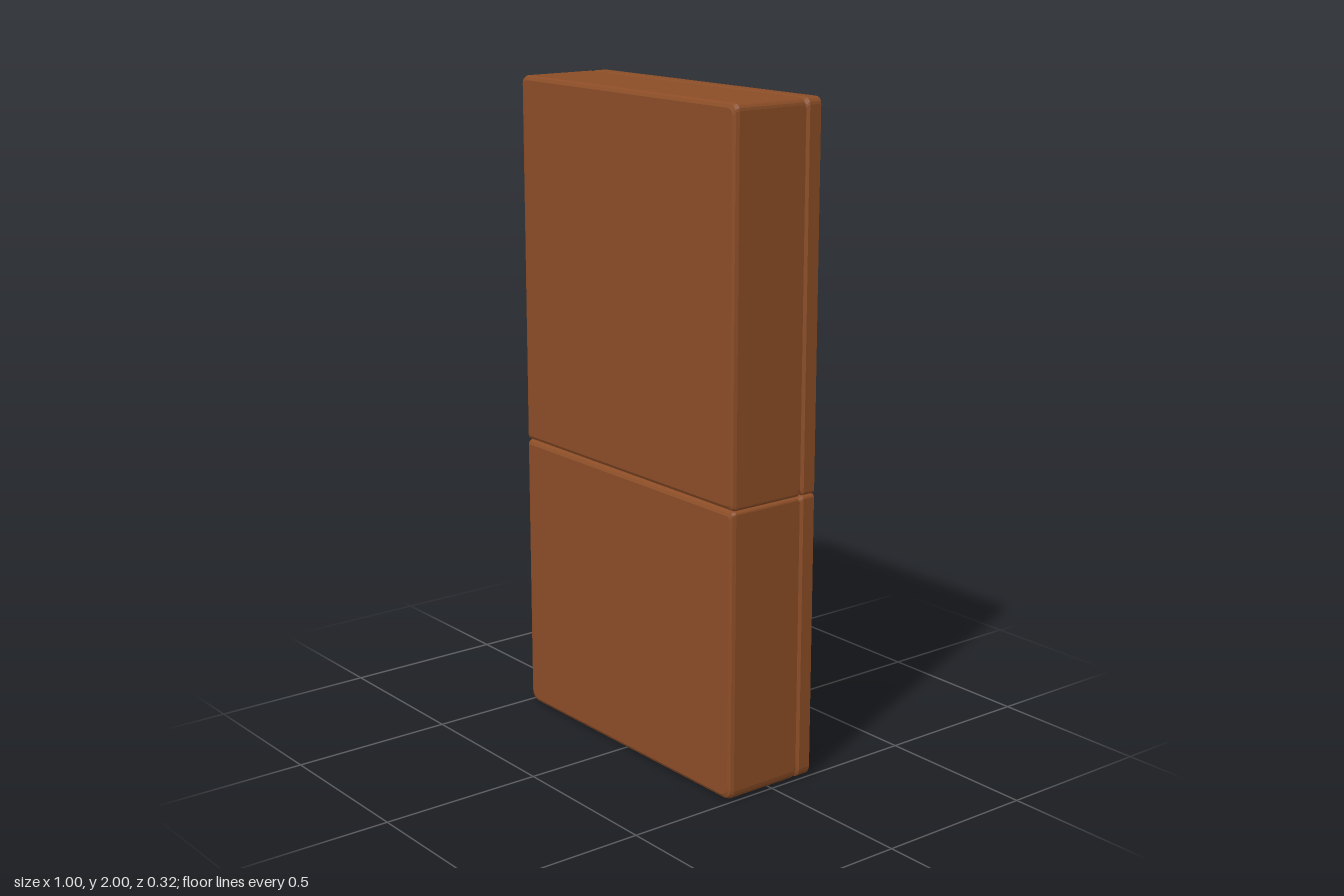
import * as THREE from 'three';

const FRONT = -0.145, BACK = 0.16;
const wood = new THREE.MeshStandardMaterial({ color: 0x8b4d27, flatShading: true });

// Counter-clockwise rounded rectangle with separate top and bottom corner radii
function roundedRect({ x0, x1, y0, y1, rt, rb }, inset = 0) {
  const pts = [];
  const corners = [
    [x1, y0, -1, 1, rb], [x1, y1, -1, -1, rt], [x0, y1, 1, -1, rt], [x0, y0, 1, 1, rb],
  ];
  corners.forEach(([x, y, sx, sy, r], k) => {
    for (let i = 0; i <= 4; i++) {
      const a = (k - 1 + i / 4) * Math.PI / 2;
      pts.push(new THREE.Vector2(
        x + sx * (r + inset) + r * Math.cos(a),
        y + sy * (r + inset) + r * Math.sin(a)));
    }
  });
  return pts;
}

// Skin over the rectangle at successive [z, inset] steps, closed at the far end;
// inward = true makes a hollow recess instead of a solid
function loft(rect, steps, inward = false) {
  const pos = [], index = [];
  const tri = (a, b, c) => (inward ? index.push(a, c, b) : index.push(a, b, c));
  let n = 0;
  steps.forEach(([z, inset], s) => {
    const loop = roundedRect(rect, inset);
    n = loop.length;
    loop.forEach((p) => pos.push(p.x, p.y, z));
    if (s === 0) return;
    for (let i = 0; i < n; i++) {
      const j = (i + 1) % n, a = (s - 1) * n, b = s * n;
      tri(a + i, a + j, b + j);
      tri(a + i, b + j, b + i);
    }
  });
  const last = (steps.length - 1) * n;
  for (let i = 1; i < n - 1; i++) tri(last, last + i, last + i + 1);
  const indexed = new THREE.BufferGeometry();
  indexed.setAttribute('position', new THREE.Float32BufferAttribute(pos, 3));
  indexed.setIndex(index);
  const geo = indexed.toNonIndexed();
  geo.computeVertexNormals();
  return geo;
}

function add(group, name, geo) {
  const mesh = new THREE.Mesh(geo, wood);
  mesh.name = name;
  group.add(mesh);
  return mesh;
}

// One cabinet half: outer body with a groove behind the face frame,
// a pierced face, and a recess behind each opening
function addUnit(parent, name, outline, recesses) {
  const unit = new THREE.Group();
  unit.name = name;
  add(unit, name + 'Body', loft(outline, [
    [FRONT, 0], [-0.105, 0], [-0.098, 0.008], [-0.093, 0.008], [-0.086, 0],
    [0.145, 0], [0.155, 0.004], [BACK, 0.013],
  ]));
  const face = new THREE.Shape(roundedRect(outline));
  face.holes = recesses.map((r) => new THREE.Path(roundedRect(r.rect).reverse()));
  const faceGeo = new THREE.ShapeGeometry(face);
  faceGeo.rotateY(Math.PI).translate(0, 0, FRONT);
  add(unit, name + 'Face', faceGeo);
  recesses.forEach((r) => add(unit, r.name, loft(r.rect, r.steps, true)));
  parent.add(unit);
  return unit;
}

export function createModel() {
  const model = new THREE.Group();
  model.name = 'bookcaseCabinet';

  // Upper half with three open shelves
  const shelves = [[0.92, 1.2], [1.255, 1.545], [1.595, 1.91]].map(([y0, y1], i) => ({
    name: 'shelfOpening' + (i + 1),
    rect: { x0: -0.41, x1: 0.41, y0, y1, rt: 0.002, rb: 0.002 },
    steps: [[FRONT, 0], [0.105, 0]],
  }));
  addUnit(model, 'upperShelving',
    { x0: -0.5, x1: 0.5, y0: 0.872, y1: 2, rt: 0.02, rb: 0.01 }, shelves);

  // Lower half: two sunken door panels with sloping edges and the gap between the doors
  const panels = [[-0.34, -0.07], [0.07, 0.34]].map(([x0, x1], i) => ({
    name: i ? 'leftDoorPanel' : 'rightDoorPanel',
    rect: { x0, x1, y0: 0.17, y1: 0.785, rt: 0.035, rb: 0.035 },
    steps: [[FRONT, 0], [-0.135, 0.004], [-0.095, 0.045]],
  }));
  const gap = {
    name: 'doorGap',
    rect: { x0: -0.003, x1: 0.003, y0: 0.1, y1: 0.865, rt: 0.001, rb: 0.001 },
    steps: [[FRONT, 0], [-0.13, 0]],
  };
  const lower = addUnit(model, 'lowerCupboard',
    { x0: -0.5, x1: 0.5, y0: 0, y1: 0.87, rt: 0.01, rb: 0.03 }, [...panels, gap]);

  // Door knobs
  for (const side of [-1, 1]) {
    const knob = add(lower, side > 0 ? 'leftKnob' : 'rightKnob',
      new THREE.BoxGeometry(0.02, 0.032, 0.025));
    knob.position.set(side * 0.043, 0.66, -0.1525);
  }
  return model;
}
